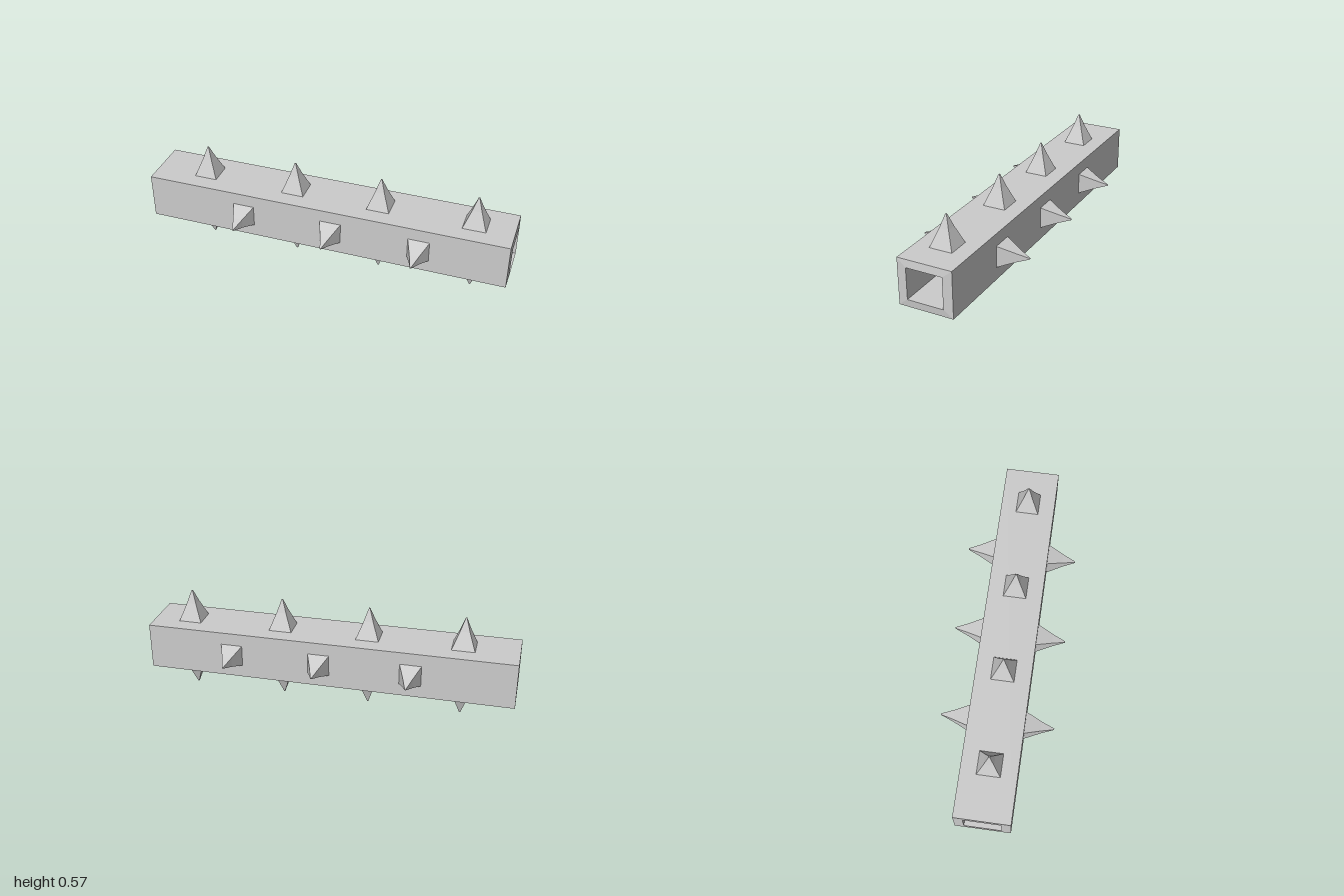
import * as THREE from 'three';

export function createModel() {
  const group = new THREE.Group();
  const material = new THREE.MeshStandardMaterial({ color: 0xcccccc, flatShading: true });
  const midY = 0.274, halfY = 0.126, halfZ = 0.148;
  const holeY = 0.085, holeZ = 0.098;

  // Square tube, open at both ends
  const corners = (w, h) => [[-w, -h], [w, -h], [w, h], [-w, h]].map(([x, y]) => new THREE.Vector2(x, y));
  const section = new THREE.Shape(corners(halfZ, halfY));
  section.holes.push(new THREE.Path(corners(holeZ, holeY).reverse()));
  const tube = new THREE.ExtrudeGeometry(section, { depth: 1.995, bevelEnabled: false });
  tube.rotateY(Math.PI / 2).translate(-1, 0, 0);
  // The rim of the +x opening stands slightly proud
  const pos = tube.attributes.position;
  for (let i = 0; i < pos.count; i++) {
    if (pos.getX(i) > 0.9 && Math.abs(pos.getY(i)) < holeY + 0.01) pos.setX(i, 1);
  }
  const beam = new THREE.Mesh(tube, material);
  beam.name = 'hollowBeam';
  beam.position.y = midY;
  group.add(beam);

  // Four-sided spike, slightly concave, with a tiny flat tip
  const profile = [[0, 0], [0.062, 0], [0.026, 0.094], [0.003, 0.164], [0, 0.164]]
    .map(([r, y]) => new THREE.Vector2(r * Math.SQRT2, y));
  const spikeGeometry = new THREE.LatheGeometry(profile, 4).rotateY(Math.PI / 4);

  const addSpikes = (name, xs, y, z, angle) => {
    const row = new THREE.Group();
    row.name = name;
    for (const x of xs) {
      const spike = new THREE.Mesh(spikeGeometry, material);
      spike.name = 'spike';
      spike.position.set(x, y, z);
      spike.rotation.x = angle;
      row.add(spike);
    }
    group.add(row);
  };

  // Rows of four above and below, staggered rows of three front and back
  const fours = [-0.708, -0.2, 0.277, 0.79];
  const threes = [-0.45, 0.044, 0.526];
  addSpikes('topSpikes', fours, 0.402, 0, 0);
  addSpikes('bottomSpikes', fours, 0.164, 0, Math.PI);
  addSpikes('frontSpikes', threes, midY, 0.138, Math.PI / 2);
  addSpikes('backSpikes', threes, midY, -0.138, -Math.PI / 2);

  return group;
}
